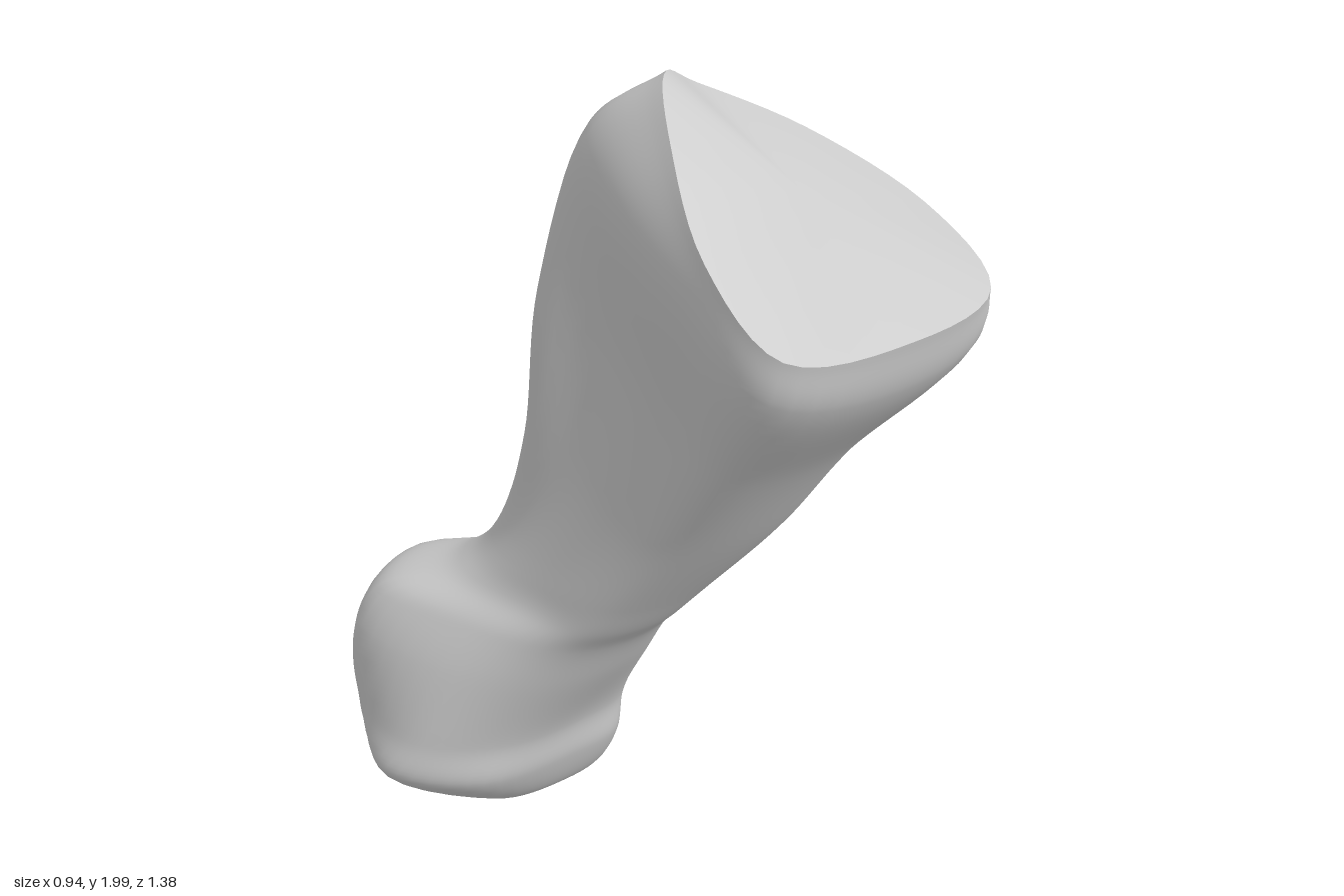
import * as THREE from 'three';

const SIDES = 54; // samples around the bone
const ROWS = 99;  // samples along the bone

// Cross-sections run: front left, front, front right, right, back right,
// back middle, back left ridge, left back, left.
// Rim of the upper joint face (x, y, z)
const rim = [
  [-0.12, 1.645, 0.62], [0.13, 1.64, 0.69], [0.38, 1.65, 0.63], [0.46, 1.71, 0.36], [0.36, 1.81, 0.11],
  [0.17, 1.91, 0.0], [0.0, 1.995, 0.11], [-0.09, 1.92, 0.25], [-0.15, 1.77, 0.43],
];

// Sections with height at z = 0, slope along z, and (x, z) points
const shaft = [
  { y: 1.85, slope: -0.5, pts: [[-0.13, 0.60], [0.13, 0.66], [0.40, 0.60], [0.47, 0.37], [0.37, 0.12], [0.16, 0.01], [-0.06, -0.045], [-0.13, 0.10], [-0.16, 0.38]] },
  { y: 1.45, slope: -0.35, pts: [[-0.10, 0.44], [0.10, 0.485], [0.27, 0.44], [0.375, 0.27], [0.31, 0.10], [0.10, -0.02], [-0.135, -0.135], [-0.12, 0.05], [-0.125, 0.27]] },
  { y: 1.1, slope: -0.2, pts: [[-0.09, 0.28], [0.08, 0.33], [0.22, 0.29], [0.31, 0.15], [0.26, 0.0], [0.07, -0.085], [-0.15, -0.18], [-0.145, -0.05], [-0.13, 0.13]] },
  { y: 0.82, slope: 0, pts: [[-0.13, 0.12], [0.03, 0.175], [0.16, 0.13], [0.24, 0.0], [0.20, -0.15], [0.04, -0.26], [-0.14, -0.33], [-0.20, -0.23], [-0.18, -0.05]] },
  { y: 0.73, slope: 0, pts: [[-0.15, 0.06], [0.01, 0.11], [0.14, 0.06], [0.22, -0.07], [0.18, -0.23], [0.02, -0.33], [-0.16, -0.42], [-0.25, -0.33], [-0.21, -0.11]] },
];

// Rounded lower head, with two knuckles and a shallow notch at the back
const head = [
  { y: 0.65, slope: 0, pts: [[-0.17, 0.0], [0.0, 0.045], [0.125, 0.0], [0.195, -0.14], [0.15, -0.30], [0.0, -0.41], [-0.22, -0.58], [-0.37, -0.49], [-0.29, -0.20]] },
  { y: 0.53, slope: 0, pts: [[-0.20, -0.06], [-0.02, -0.02], [0.11, -0.06], [0.175, -0.23], [0.14, -0.47], [-0.03, -0.53], [-0.23, -0.64], [-0.42, -0.54], [-0.36, -0.25]] },
  { y: 0.32, slope: 0, pts: [[-0.25, -0.15], [-0.05, -0.13], [0.10, -0.16], [0.155, -0.36], [0.12, -0.63], [-0.04, -0.65], [-0.24, -0.69], [-0.42, -0.57], [-0.43, -0.30]] },
  { y: 0.2, slope: 0, pts: [[-0.30, -0.18], [-0.06, -0.15], [0.09, -0.17], [0.15, -0.36], [0.12, -0.59], [-0.04, -0.63], [-0.24, -0.65], [-0.40, -0.54], [-0.47, -0.36]] },
  { y: 0.07, slope: 0, pts: [[-0.21, -0.24], [-0.06, -0.21], [0.07, -0.23], [0.125, -0.35], [0.08, -0.48], [-0.05, -0.52], [-0.18, -0.53], [-0.27, -0.46], [-0.31, -0.36]] },
];

const toVectors = ({ y, slope, pts }) => pts.map(([x, z]) => new THREE.Vector3(x, y + slope * z, z));

// Smooth closed loop through the points of one section
function loop(points) {
  const curve = new THREE.CatmullRomCurve3(points, true);
  return Array.from({ length: SIDES }, (_, j) => curve.getPoint(j / SIDES));
}

function surface(points, index) {
  const geo = new THREE.BufferGeometry().setFromPoints(points);
  geo.setIndex(index);
  geo.computeVertexNormals();
  return geo;
}

export function createModel() {
  const group = new THREE.Group();
  group.name = 'bone';
  const material = new THREE.MeshStandardMaterial({ color: 0xcccccc });
  const add = (name, geo) => {
    const mesh = new THREE.Mesh(geo, material);
    mesh.name = name;
    group.add(mesh);
  };

  const rimLoop = loop(rim.map((p) => new THREE.Vector3(...p)));
  const loops = [rimLoop, ...[...shaft, ...head].map((s) => loop(toVectors(s)))];

  // Underside ring shrunk from the last section, then a closing pole
  const pole = new THREE.Vector3(-0.08, 0.003, -0.36);
  loops.push(loops[loops.length - 1].map((p) => {
    const q = p.clone().lerp(pole, 0.45);
    q.y = 0.018;
    return q;
  }));

  // Splines down the bone join the sections
  const columns = rimLoop.map((_, j) => new THREE.CatmullRomCurve3(loops.map((l) => l[j])));
  const points = [];
  const index = [];
  for (let i = 0; i <= ROWS; i++) {
    for (let j = 0; j < SIDES; j++) {
      points.push(columns[j].getPoint(i / ROWS));
      if (i === ROWS) continue;
      const a = i * SIDES + j;
      const b = i * SIDES + ((j + 1) % SIDES);
      index.push(a, a + SIDES, b, b, a + SIDES, b + SIDES);
    }
  }
  const last = ROWS * SIDES;
  points.push(pole);
  for (let j = 0; j < SIDES; j++) index.push(points.length - 1, last + ((j + 1) % SIDES), last + j);
  add('shaftAndHead', surface(points, index));

  // Slightly hollow upper joint face
  const centre = new THREE.Vector3(0.14, 1.81, 0.36);
  const facePoints = [...rimLoop, centre];
  const faceIndex = rimLoop.flatMap((_, j) => [SIDES, j, (j + 1) % SIDES]);
  add('upperJointFace', surface(facePoints, faceIndex));

  return group;
}
